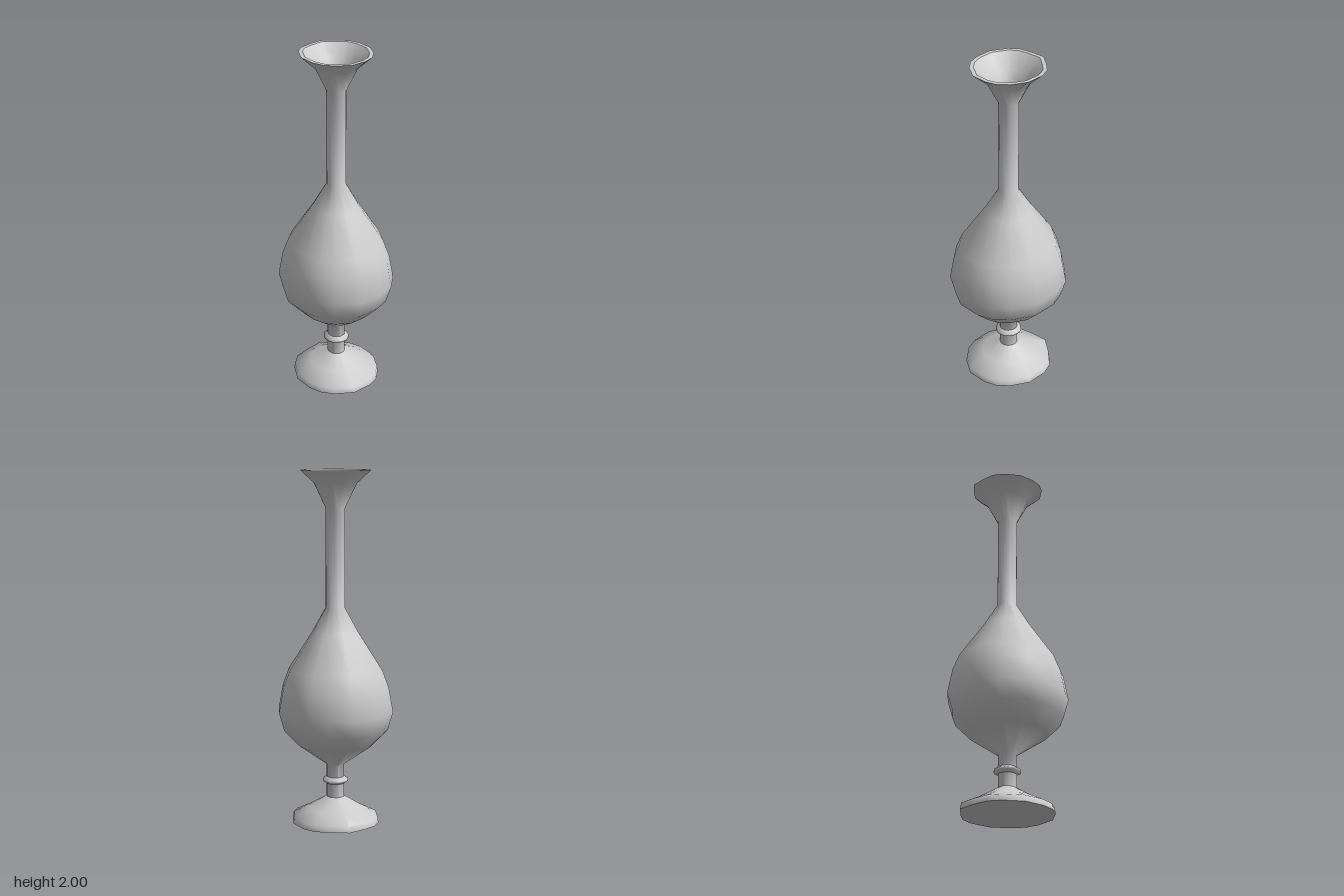
import * as THREE from 'three';
import { toCreasedNormals } from 'three/addons/utils/BufferGeometryUtils.js';

// Right half of the slightly uneven 16-sided cross-section, front to back, as [x, z]
const HALF = [
  [0, 1.06], [0.44, 0.93], [0.705, 0.745], [0.885, 0.455], [1, 0],
  [0.885, -0.485], [0.705, -0.745], [0.41, -0.905], [0, -1.065],
];
const SECTION = [...HALF, ...HALF.slice(1, -1).reverse().map(([x, z]) => [-x, z])];

// Turn a [radius, height] profile around y, following the uneven section
function turned(name, profile, crease = 1.05) {
  const points = profile.map(([r, y]) => new THREE.Vector2(r, y));
  const geometry = new THREE.LatheGeometry(points, SECTION.length);
  const position = geometry.attributes.position;
  for (let i = 0; i < position.count; i++) {
    const [x, z] = SECTION[Math.floor(i / profile.length) % SECTION.length];
    const [r, y] = profile[i % profile.length];
    position.setXYZ(i, r * x, y, r * z);
  }
  const material = new THREE.MeshStandardMaterial({ color: 0xcccccc });
  const mesh = new THREE.Mesh(toCreasedNormals(geometry, crease), material);
  mesh.name = name;
  return mesh;
}

export function createModel() {
  const group = new THREE.Group();
  group.name = 'vase';

  // Flared foot with a flat underside
  group.add(turned('foot', [[0, 0], [0.25, 0], [0.245, 0.035], [0.15, 0.083], [0.05, 0.145]]));

  // Small ring around the stem
  group.add(turned('collar', [[0.05, 0.222], [0.073, 0.236], [0.073, 0.246], [0.05, 0.262]], 1.4));

  // Stem, pear-shaped belly, long neck and flared mouth
  group.add(turned('body', [
    [0.05, 0.145], [0.05, 0.335], [0.21, 0.45], [0.3, 0.545], [0.33, 0.65],
    [0.304, 0.79], [0.268, 0.885], [0.13, 1.1], [0.055, 1.235],
    [0.055, 1.79], [0.12, 1.925], [0.2, 2],
  ]));

  // Flat lip
  group.add(turned('lip', [[0.2, 2], [0.178, 2]]));

  // Hollow inside, from the mouth down to a flat floor
  group.add(turned('lining', [
    [0.178, 2], [0.105, 1.925], [0.043, 1.795], [0.043, 1.235], [0.115, 1.1],
    [0.25, 0.885], [0.285, 0.79], [0.31, 0.65], [0.28, 0.555], [0.195, 0.465],
    [0.05, 0.36], [0, 0.36],
  ]));

  return group;
}
